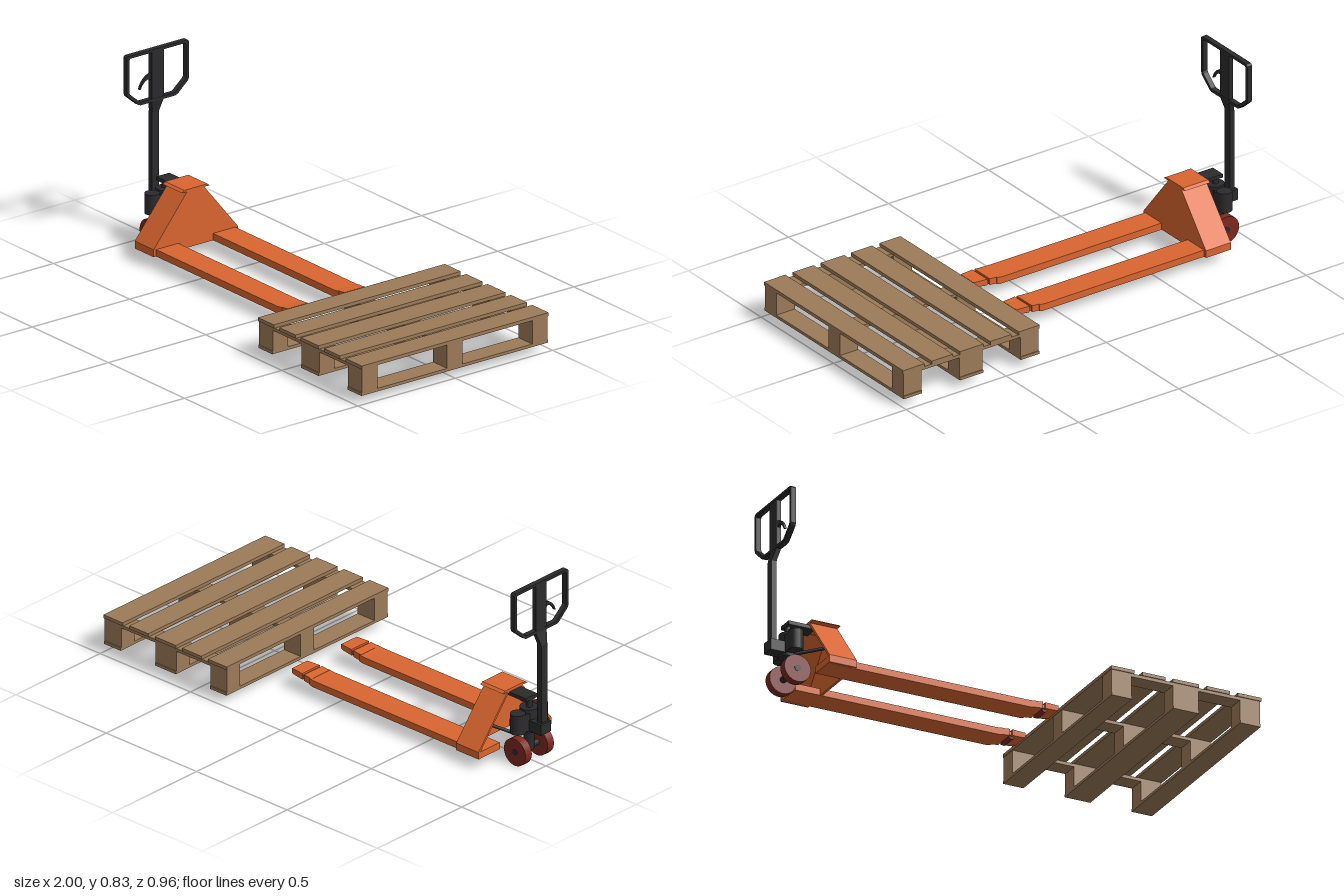
import * as THREE from 'three';

export function createModel() {
  const root = new THREE.Group();
  const mat = (name, color, side = THREE.FrontSide) => {
    const m = new THREE.MeshStandardMaterial({ color, side });
    m.name = name;
    return m;
  };
  const orange = mat('orange paint', 0xd9652f, THREE.DoubleSide);
  const black = mat('black steel', 0x2b2b2d);
  const red = mat('dark red wheel', 0x7d2820);
  const wood = mat('wood', 0x9c7a58);

  const add = (parent, name, geometry, material) => {
    const m = new THREE.Mesh(geometry, material);
    m.name = name;
    parent.add(m);
    return m;
  };
  const group = (name) => {
    const g = new THREE.Group();
    g.name = name;
    root.add(g);
    return g;
  };
  // Box given by its limits on each axis
  const box = (parent, name, material, [x0, x1], [y0, y1], [z0, z1]) => {
    const m = add(parent, name, new THREE.BoxGeometry(x1 - x0, y1 - y0, z1 - z0), material);
    m.position.set((x0 + x1) / 2, (y0 + y1) / 2, (z0 + z1) / 2);
    return m;
  };
  const shapeOf = (pts) => new THREE.Shape(pts.map(([a, b]) => new THREE.Vector2(a, b)));
  const extrude = (shape, depth) =>
    new THREE.ExtrudeGeometry(shape, { depth, bevelEnabled: false, curveSegments: 8 });
  // Outline in (z, y), extruded from x0 to x1
  const extrudeX = (shape, x0, x1) =>
    extrude(shape, x1 - x0).rotateY(-Math.PI / 2).translate(x1, 0, 0);
  // Outline in (x, y), extruded from z0 to z1
  const extrudeZ = (pts, z0, z1) => extrude(shapeOf(pts), z1 - z0).translate(0, 0, z0);
  // Round bar between two points
  const rod = (parent, name, material, a, b, r) => {
    const path = new THREE.LineCurve3(new THREE.Vector3(...a), new THREE.Vector3(...b));
    const m = add(parent, name, new THREE.CylinderGeometry(r, r, path.getLength(), 16), material);
    m.position.copy(path.getPoint(0.5));
    m.quaternion.setFromUnitVectors(new THREE.Vector3(0, 1, 0), path.getTangent(0));
    return m;
  };

  // Pallet: top boards, stringers, blocks and bottom boards
  const pallet = group('pallet');
  const bottomX = [[0.32, 0.412], [0.6, 0.716], [0.905, 0.997]];
  const rowsZ = [[-0.476, -0.398], [-0.039, 0.039], [0.398, 0.476]];
  for (const x of [[0.318, 0.422], [0.459, 0.565], [0.599, 0.716], [0.752, 0.857], [0.893, 1]])
    box(pallet, 'topBoard', wood, x, [0.154, 0.169], [-0.48, 0.48]);
  for (const z of rowsZ) {
    box(pallet, 'stringer', wood, [0.32, 0.997], [0.14, 0.154], z);
    for (const x of bottomX) box(pallet, 'block', wood, x, [0.051, 0.14], z);
  }
  for (const x of bottomX)
    box(pallet, 'bottomBoard', wood, x, [0.038, 0.051], [-0.48, 0.48]);

  // Forks with stepped, tapered tips
  for (const side of [-1, 1]) {
    const fork = group(side > 0 ? 'leftFork' : 'rightFork');
    const c = side * 0.146;
    add(fork, 'forkBeam', extrudeZ([[-0.828, 0.05], [0.1, 0.05], [0.118, 0.054], [0.118, 0.083],
      [0.09, 0.08], [-0.828, 0.08]], c - 0.057, c + 0.057), orange);
    add(fork, 'tipStep', extrudeZ([[0.11, 0.054], [0.152, 0.059], [0.152, 0.087], [0.11, 0.083]],
      c - 0.053, c + 0.053), orange);
    add(fork, 'tipNeck', extrudeZ([[0.15, 0.063], [0.17, 0.064], [0.17, 0.08], [0.15, 0.08]],
      c - 0.045, c + 0.045), orange);
    const tip = extrudeZ([[0.163, 0.061], [0.215, 0.064], [0.226, 0.068], [0.226, 0.088],
      [0.163, 0.088]], c - 0.052, c + 0.052);
    const p = tip.attributes.position;
    for (let i = 0; i < p.count; i++)
      p.setZ(i, c + (p.getZ(i) - c) * (1 - 0.12 * (p.getX(i) - 0.163) / 0.063));
    tip.computeVertexNormals();
    add(fork, 'forkTip', tip, orange);
    rod(fork, 'forkRoller', red, [0.168, 0.064, c - 0.036], [0.168, 0.064, c + 0.036], 0.012);
  }

  // Housing: sloped shell open to the rear, closed by a plate on the fork side
  const body = group('housing');
  const outline = [[-0.216, 0.05], [-0.216, 0.082], [-0.042, 0.296], [0.042, 0.296],
    [0.216, 0.082], [0.216, 0.05]];
  const inner = [[0.206, 0.05], [0.206, 0.079], [0.038, 0.286], [-0.038, 0.286],
    [-0.206, 0.079], [-0.206, 0.05]];
  add(body, 'housingShell', extrudeX(shapeOf([...outline, ...inner]), -0.829, -0.715), orange);
  add(body, 'housingPlate', extrudeX(shapeOf(outline), -0.715, -0.705), orange);
  add(body, 'housingCap', extrudeX(shapeOf([[-0.072, 0.294], [-0.06, 0.303], [0.06, 0.303],
    [0.072, 0.294]]), -0.83, -0.704), orange);

  // Steering wheels and axle
  const steering = group('steering');
  for (const s of [-1, 1]) {
    rod(steering, 'wheel', red, [-0.906, 0.06, s * 0.047], [-0.906, 0.06, s * 0.084], 0.06)
      .geometry = new THREE.CylinderGeometry(0.06, 0.06, 0.037, 32);
    rod(steering, 'wheelHub', black, [-0.906, 0.06, s * 0.04], [-0.906, 0.06, s * 0.086], 0.014);
    rod(steering, 'pushStrut', black, [-0.906, 0.132, s * 0.06], [-0.8, 0.158, s * 0.112], 0.007);
  }
  rod(steering, 'axle', black, [-0.906, 0.06, -0.05], [-0.906, 0.06, 0.05], 0.014);
  rod(steering, 'axlePost', black, [-0.906, 0.05, 0], [-0.906, 0.15, 0], 0.022);

  // Hydraulic pump
  const pump = group('pump');
  rod(pump, 'pumpCylinder', black, [-0.906, 0.135, 0], [-0.906, 0.24, 0], 0.039);
  for (const s of [-1, 1])
    rod(pump, 'sideCylinder', black, [-0.906, 0.145, s * 0.066], [-0.906, 0.232, s * 0.066], 0.032);
  box(pump, 'pumpBlock', black, [-0.935, -0.877], [0.148, 0.225], [-0.07, 0.07]);
  rod(pump, 'piston', black, [-0.908, 0.23, 0], [-0.908, 0.285, 0], 0.013);
  box(pump, 'topArm', black, [-0.921, -0.8], [0.274, 0.29], [-0.034, 0.034]);

  // Tiller: bracket, bent pole, grip loop and trigger
  const tiller = group('tiller');
  box(tiller, 'tillerBracket', black, [-1, -0.93], [0.147, 0.196], [-0.03, 0.03]);
  add(tiller, 'pole', extrudeZ([[-0.991, 0.17], [-0.968, 0.17], [-0.968, 0.55], [-0.955, 0.605],
    [-0.974, 0.605], [-0.991, 0.55]], -0.018, 0.018), black);
  const flare = extrudeX(shapeOf([[-0.018, 0.55], [-0.031, 0.605], [0.031, 0.605],
    [0.018, 0.55]]), -0.99, -0.969);
  const fp = flare.attributes.position;
  for (let i = 0; i < fp.count; i++)
    if (fp.getY(i) > 0.58) fp.setX(i, fp.getX(i) + 0.015);
  flare.computeVertexNormals();
  add(tiller, 'poleFlare', flare, black);
  box(tiller, 'gripSpine', black, [-0.975, -0.954], [0.603, 0.82], [-0.031, 0.031]);

  const half = [[0.09, 0.603], [0.102, 0.608], [0.155, 0.654], [0.16, 0.667], [0.16, 0.822],
    [0.152, 0.83]];
  const halfIn = [[0.086, 0.616], [0.092, 0.618], [0.143, 0.662], [0.147, 0.67], [0.147, 0.812],
    [0.141, 0.818]];
  const mirrored = (h) => [...h, ...h.map(([z, y]) => [-z, y]).reverse()];
  const loop = shapeOf(mirrored(half));
  loop.holes.push(new THREE.Path(mirrored(halfIn).map(([z, y]) => new THREE.Vector2(z, y))));
  add(tiller, 'gripLoop', extrudeX(loop, -0.976, -0.953), black);

  const hook = new THREE.Shape();
  hook.moveTo(0.028, 0.728);
  hook.quadraticCurveTo(0.075, 0.715, 0.09, 0.668);
  hook.lineTo(0.084, 0.668);
  hook.quadraticCurveTo(0.066, 0.704, 0.04, 0.703);
  hook.lineTo(0.028, 0.695);
  add(tiller, 'trigger', extrudeX(hook, -0.97, -0.959), black);

  return root;
}
